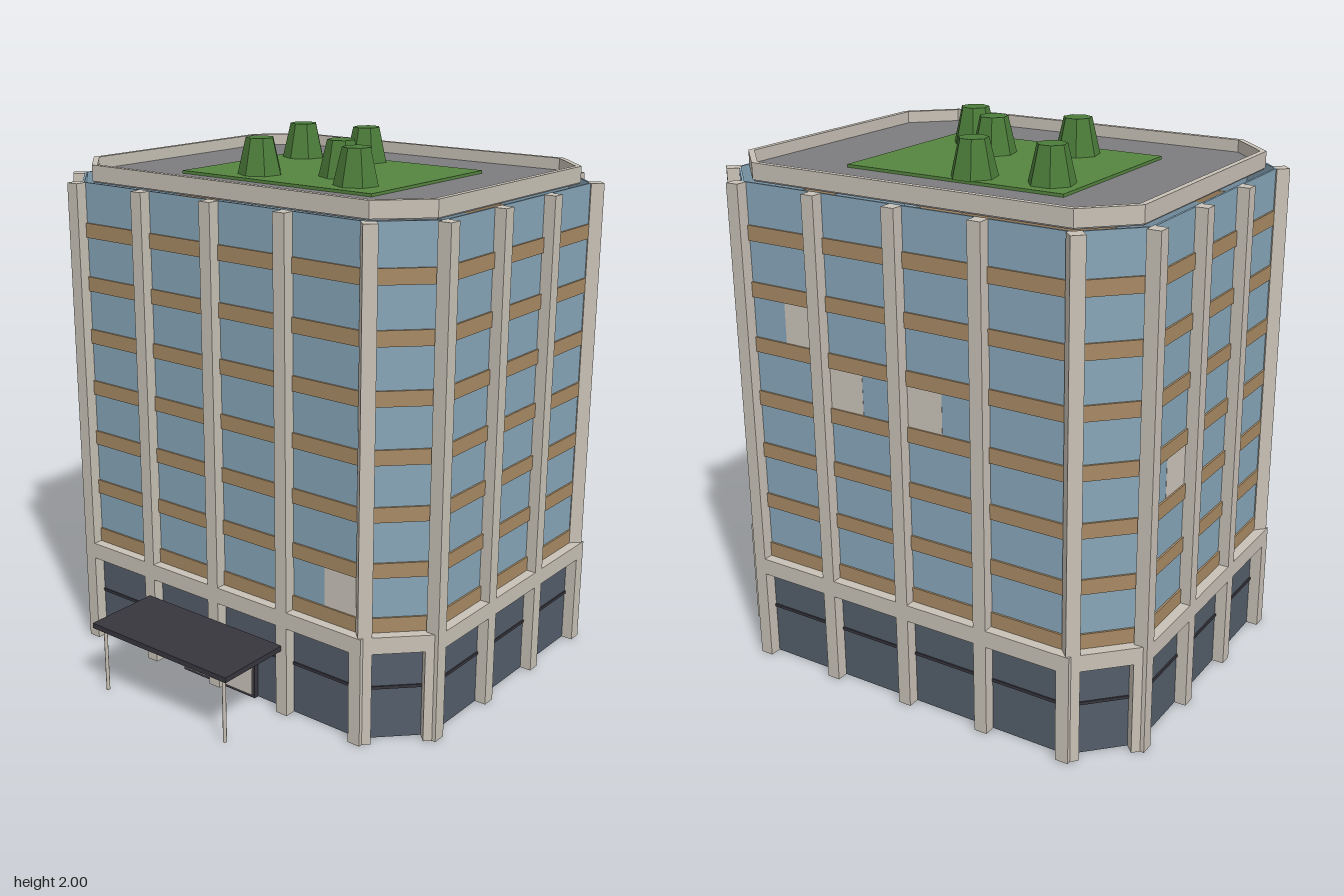
import * as THREE from 'three';

const mat = (name, color) => {
  const m = new THREE.MeshStandardMaterial({ color });
  m.name = name;
  return m;
};

export function createModel() {
  const stone = mat('stone', 0xc8c1b6);
  const glass = mat('blueGlass', 0x87a6b9);
  const brown = mat('brownSpandrel', 0xa88a64);
  const dark = mat('shopfrontGlass', 0x535d6a);
  const black = mat('darkMetal', 0x38363e);
  const blind = mat('blind', 0xcbc4ba);
  const gravel = mat('roofGravel', 0x7d7c7f);
  const grass = mat('grass', 0x55853f);
  const leaf = mat('foliage', 0x4c7c3a);

  const model = new THREE.Group();
  model.name = 'officeBuilding';
  const tower = new THREE.Group();
  tower.name = 'tower';
  tower.position.z = -0.15;
  model.add(tower);

  const add = (parent, name, geo, material, x = 0, y = 0, z = 0) => {
    const m = new THREE.Mesh(geo, material);
    m.name = name;
    m.position.set(x, y, z);
    parent.add(m);
    return m;
  };
  const box = (parent, name, material, w, h, d, x, y, z) =>
    add(parent, name, new THREE.BoxGeometry(w, h, d), material, x, y, z);

  // Chamfered rectangle of the column line, offset outward by d
  const A = 0.848, B = 0.686, C = 0.191;
  const outline = (d) => {
    const a = A + d, b = B + d, c = C + d * (2 - Math.SQRT2);
    return [[a - c, b], [a, b - c], [a, c - b], [a - c, -b],
      [c - a, -b], [-a, c - b], [-a, b - c], [c - a, b]].map(([x, z]) => new THREE.Vector2(x, z));
  };
  // Prism on that outline, hollow when an inner offset is given
  const ring = (name, material, outer, inner, y0, y1) => {
    const shape = new THREE.Shape(outline(outer).reverse());
    if (inner !== null) shape.holes.push(new THREE.Path(outline(inner)));
    const geo = new THREE.ExtrudeGeometry(shape, { depth: y1 - y0, bevelEnabled: false });
    geo.rotateX(-Math.PI / 2);
    return add(tower, name, geo, material, 0, y0, 0);
  };

  // Walls, ledge and floor bands
  const base = 0.413, floorH = 0.2037, bandH = 0.055, top = 1.84;
  ring('shopfront', dark, -0.019, -0.027, 0, 0.36);
  ring('shopfrontRail', black, -0.014, -0.02, 0.193, 0.204);
  ring('ledge', stone, 0.025, -0.025, 0.35, base);
  ring('windowWall', glass, -0.019, -0.027, base, top);
  for (let i = 0; i < 7; i++) {
    const y = base + i * floorH;
    ring('floorBand', brown, -0.012, -0.032, y, y + bandH);
  }

  // Roof slab and parapet
  ring('roof', gravel, -0.06, null, 1.835, 1.855);
  ring('parapet', stone, -0.056, -0.077, 1.84, 1.9);

  // Columns on each of the eight faces; blinds are [face, bay, first part, width in bays, floor]
  const blinds = [[7, 3, 0.5, 0.5, 0], [3, 0, 0.5, 0.5, 4], [3, 1, 0, 0.5, 3],
    [3, 2, 0, 0.5, 3], [5, 0, 0.5, 0.5, 2], [2, 0, 0, 1, 3]];
  const bayCounts = [1, 3, 1, 4, 1, 3, 1, 4];
  const pts = outline(0);
  pts.forEach((p, f) => {
    const q = pts[(f + 1) % 8];
    const bays = bayCounts[f];
    const len = p.distanceTo(q);
    const w = len / bays;
    const face = new THREE.Group();
    face.name = 'facade';
    face.position.set((p.x + q.x) / 2, 0, (p.y + q.y) / 2);
    // Local +z points outward, local +x runs from p to q
    face.rotation.y = Math.atan2(p.y - q.y, q.x - p.x);
    tower.add(face);
    const inset = bays === 1 ? 0.017 : 0;
    for (let i = 0; i < bays; i++) {
      box(face, 'column', stone, 0.05, top, 0.05, i * w - len / 2 + inset, top / 2, 0);
    }
    // Short pier closing the far end of the ground floor
    box(face, 'pier', stone, 0.05, base, 0.05, len / 2 - inset, base / 2, 0);
    for (const [bf, bay, start, size, floor] of blinds) {
      if (bf !== f) continue;
      const x0 = (bay + start) * w - len / 2 + (start === 0 ? 0.02 : 0);
      const x1 = (bay + start + size) * w - len / 2 - (start + size === 1 ? 0.02 : 0);
      box(face, 'blind', blind, x1 - x0, floorH - bandH, 0.0095,
        (x0 + x1) / 2, base + floor * floorH + (floorH + bandH) / 2, -0.023);
    }
  });

  // Roof garden
  box(model, 'lawn', grass, 0.88, 0.014, 0.705, 0, 1.859, -0.152);
  const trees = [[-0.327, -0.387], [-0.048, -0.433], [0.114, -0.058], [-0.158, 0.08], [0.283, 0.075]];
  trees.forEach(([x, z]) => {
    const geo = new THREE.CylinderGeometry(0.053, 0.085, 0.136, 7).toNonIndexed();
    geo.computeVertexNormals();
    add(model, 'tree', geo, leaf, x, 1.932, z);
  });

  // Entrance with canopy
  box(model, 'doorFrame', black, 0.36, 0.18, 0.03, 0, 0.09, 0.522);
  box(model, 'doorLintel', brown, 0.37, 0.012, 0.05, 0, 0.186, 0.527);
  for (const s of [-1, 1]) {
    box(model, 'door', blind, 0.145, 0.155, 0.008, s * 0.0975, 0.09, 0.539);
    add(model, 'canopyPost', new THREE.CylinderGeometry(0.007, 0.007, 0.26, 8), stone, s * 0.295, 0.13, 0.83);
  }
  box(model, 'canopy', black, 0.66, 0.02, 0.3, 0, 0.266, 0.71);

  return model;
}
